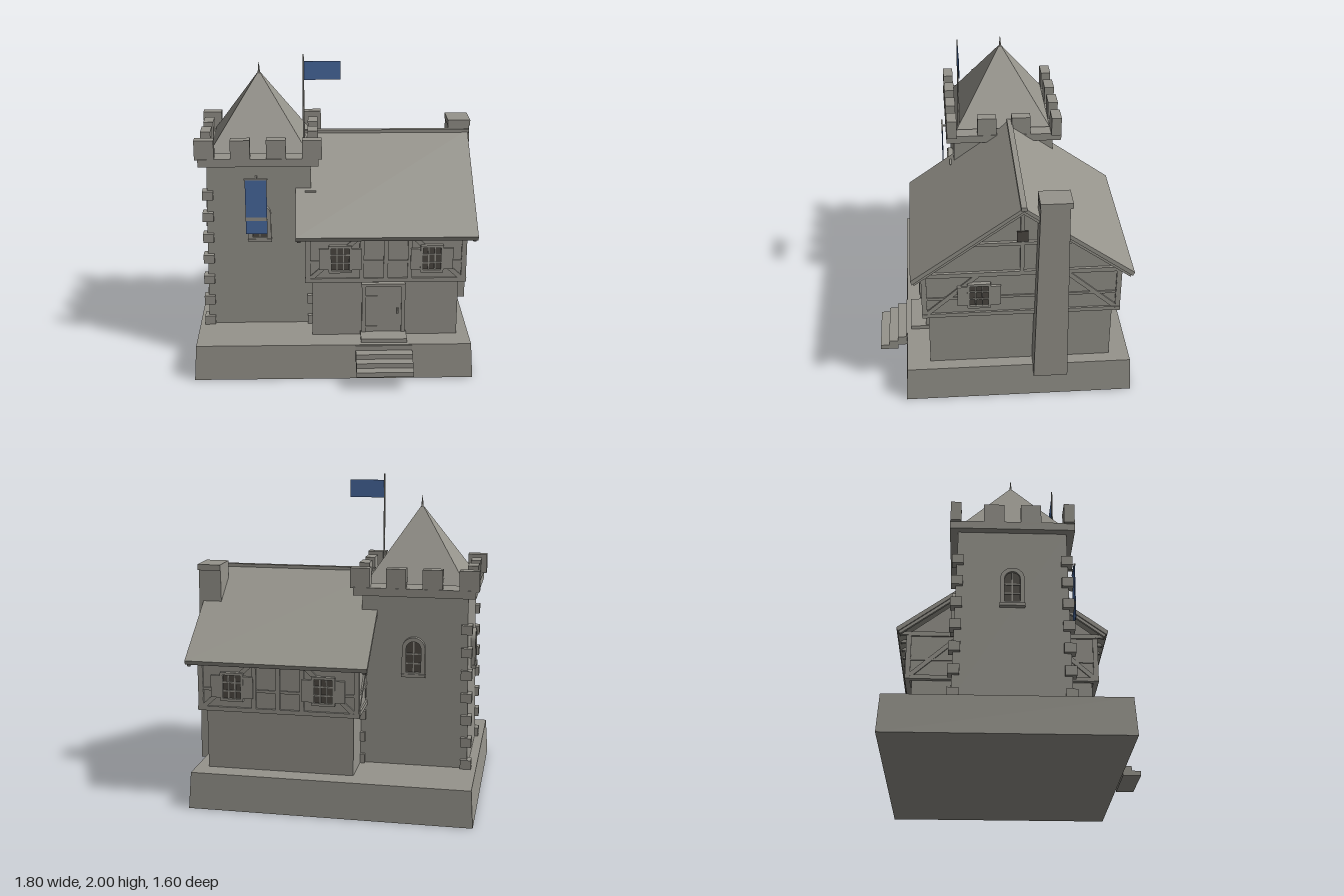
import * as THREE from 'three';

const stone = new THREE.MeshStandardMaterial({ name: 'stone grey', color: 0x96948c });
const dark = new THREE.MeshStandardMaterial({ name: 'dark glass', color: 0x4e4a44 });
const blue = new THREE.MeshStandardMaterial({ name: 'flag blue', color: 0x4a6ca4 });

function add(parent, name, geometry, material = stone) {
  const mesh = new THREE.Mesh(geometry, material);
  mesh.name = name;
  parent.add(mesh);
  return mesh;
}

// box given by its limits on each axis; tx and tz narrow the top on each side
function block(parent, name, x0, x1, y0, y1, z0, z1, material = stone, tx = 0, tz = 0) {
  const g = new THREE.BoxGeometry(x1 - x0, y1 - y0, z1 - z0);
  const p = g.attributes.position;
  for (let i = 0; i < p.count; i++) {
    if (p.getY(i) > 0) {
      p.setX(i, p.getX(i) - Math.sign(p.getX(i)) * tx);
      p.setZ(i, p.getZ(i) - Math.sign(p.getZ(i)) * tz);
    }
  }
  g.computeVertexNormals();
  g.translate((x0 + x1) / 2, (y0 + y1) / 2, (z0 + z1) / 2);
  return add(parent, name, g, material);
}

// straight timber between two points of a wall plane
function brace(parent, name, ax, ay, bx, by, width = 0.028, depth = 0.02) {
  const m = add(parent, name, new THREE.BoxGeometry(Math.hypot(bx - ax, by - ay), width, depth));
  m.position.set((ax + bx) / 2, (ay + by) / 2, 0);
  m.rotation.z = Math.atan2(by - ay, bx - ax);
  return m;
}

// z,y profile symmetric about the ridge, extruded from x0 to x1
function alongX(points, x0, x1) {
  const shape = new THREE.Shape(points.map(([z, y]) => new THREE.Vector2(z, y)));
  const g = new THREE.ExtrudeGeometry(shape, { depth: x1 - x0, bevelEnabled: false });
  return g.rotateY(Math.PI / 2).translate(x0, 0, 0);
}

// group whose local +z points out of a wall
function wallPlane(parent, name, x, z, turn) {
  const g = new THREE.Group();
  g.name = name;
  g.position.set(x, 0, z);
  g.rotation.y = turn;
  parent.add(g);
  return g;
}

// latticed window with a pair of shutters
function shutteredWindow(wall, cx) {
  const g = new THREE.Group();
  g.name = 'shutteredWindow';
  g.position.set(cx, 0.77, 0);
  wall.add(g);
  block(g, 'glass', -0.06, 0.06, -0.08, 0.08, 0.004, 0.012, dark);
  for (const s of [-1, 1]) {
    block(g, 'jamb', s * 0.064 - 0.008, s * 0.064 + 0.008, -0.085, 0.085, 0, 0.025);
    block(g, 'rail', -0.07, 0.07, s * 0.082 - 0.008, s * 0.082 + 0.008, 0, 0.027);
    block(g, 'shutter', s * 0.1 - 0.032, s * 0.1 + 0.032, -0.07, 0.068, 0.005, 0.022);
    block(g, 'verticalBar', s * 0.02 - 0.004, s * 0.02 + 0.004, -0.08, 0.08, 0.01, 0.019);
    block(g, 'crossBar', -0.06, 0.06, s * 0.027 - 0.004, s * 0.027 + 0.004, 0.01, 0.019);
  }
}

function archShape(w, y0, y1) {
  const s = new THREE.Shape();
  s.moveTo(-w, y0);
  s.lineTo(w, y0);
  s.lineTo(w, y1 - w);
  s.absarc(0, y1 - w, w, 0, Math.PI);
  s.closePath();
  return s;
}

// arched tower window with raised surround
function archedWindow(wall) {
  const frame = archShape(0.072, 0.81, 1.055);
  frame.holes.push(archShape(0.046, 0.835, 1.03));
  add(wall, 'windowSurround', new THREE.ExtrudeGeometry(frame, { depth: 0.045, bevelEnabled: false }));
  const glass = new THREE.ExtrudeGeometry(archShape(0.05, 0.83, 1.034), { depth: 0.008, bevelEnabled: false });
  add(wall, 'windowGlass', glass, dark).position.z = 0.022;
  block(wall, 'windowBar', -0.004, 0.004, 0.83, 1.03, 0.025, 0.036);
  for (const y of [0.89, 0.95]) block(wall, 'windowBar', -0.047, 0.047, y - 0.004, y + 0.004, 0.025, 0.036);
  block(wall, 'windowSill', -0.075, 0.075, 0.805, 0.825, 0, 0.052);
}

function buildTower(root) {
  const t = new THREE.Group();
  t.name = 'tower';
  t.position.set(-0.49, 0, -0.055);
  root.add(t);
  block(t, 'towerBody', -0.345, 0.345, 0.22, 1.32, -0.345, 0.345, stone, 0.02, 0.02);
  block(t, 'cornice', -0.375, 0.375, 1.31, 1.36, -0.375, 0.375);

  // corner stones
  for (let i = 0; i < 7; i++) {
    const y = 0.23 + i * 0.1425, c = 0.335 - i * 0.002;
    for (const sx of [-1, 1]) for (const sz of [-1, 1]) {
      block(t, 'cornerStone', sx * c - 0.034, sx * c + 0.034, y, y + 0.058, sz * c - 0.034, sz * c + 0.034);
    }
  }
  // battlements
  for (let i = 0; i < 4; i++) {
    const a = -0.334 + i * 0.2227;
    for (const s of [-1, 1]) {
      block(t, 'merlon', a - 0.061, a + 0.061, 1.355, 1.48, s * 0.34 - 0.032, s * 0.34 + 0.032);
      if (i === 1 || i === 2) block(t, 'merlon', s * 0.34 - 0.032, s * 0.34 + 0.032, 1.355, 1.48, a - 0.061, a + 0.061);
    }
  }
  block(t, 'spireRoof', -0.31, 0.31, 1.375, 1.82, -0.305, 0.305, stone, 0.3, 0.295);
  add(t, 'finial', new THREE.ConeGeometry(0.009, 0.09, 8)).position.y = 1.855;

  for (const [x, z, turn] of [[0, 0.315, 0], [-0.315, 0, -Math.PI / 2], [0, -0.315, Math.PI]]) {
    archedWindow(wallPlane(t, 'towerWindow', x, z, turn));
  }

  // flag and hanging banner
  add(t, 'flagPole', new THREE.CylinderGeometry(0.004, 0.007, 0.63, 8)).position.set(0.285, 1.685, 0.29);
  block(t, 'flag', 0.289, 0.512, 1.842, 1.957, 0.287, 0.293, blue);
  block(t, 'bannerUpper', -0.085, 0.05, 0.985, 1.235, 0.392, 0.398, blue);
  block(t, 'bannerStripe', -0.085, 0.05, 0.962, 0.985, 0.392, 0.398);
  block(t, 'bannerLower', -0.085, 0.05, 0.873, 0.962, 0.392, 0.398, blue);
  block(t, 'bannerRod', -0.092, 0.057, 1.232, 1.24, 0.39, 0.4);
  block(t, 'bannerBracket', -0.022, -0.012, 1.228, 1.238, 0.31, 0.395);
}

function buildHouse(root) {
  const h = new THREE.Group();
  h.name = 'house';
  h.position.z = -0.095;
  root.add(h);
  block(h, 'lowerWalls', -0.16, 0.76, 0.22, 0.62, -0.567, 0.57);
  block(h, 'upperWalls', -0.19, 0.79, 0.615, 0.93, -0.595, 0.597);
  add(h, 'gableWalls', alongX([[-0.595, 0.925], [0.595, 0.925], [0, 1.375]], -0.19, 0.785));

  // framing of the long walls
  for (const s of [-1, 1]) {
    const w = wallPlane(h, s > 0 ? 'frontFrame' : 'backFrame', 0.3, s * 0.597, s > 0 ? 0 : Math.PI);
    block(w, 'sillBeam', -0.505, 0.505, 0.61, 0.637, -0.02, 0.012);
    block(w, 'topBeam', -0.505, 0.505, 0.905, 0.935, -0.02, 0.012);
    block(w, 'midRail', -0.5, 0.5, 0.738, 0.755, -0.02, 0.008);
    for (const x of [-0.485, -0.15, 0, 0.15, 0.485]) {
      block(w, 'post', x - 0.014, x + 0.014, 0.62, 0.92, -0.02, 0.012);
    }
    for (const m of [-1, 1]) {
      brace(w, 'diagonalBrace', m * 0.47, 0.635, m * 0.17, 0.91);
      shutteredWindow(w, m * 0.285);
    }
    for (let i = 0; i < 9; i++) {
      const x = -0.5 + i * 0.125;
      block(w, 'rafterTail', x - 0.01, x + 0.01, 0.908, 0.93, 0, 0.055);
    }
  }

  // framing of the end walls
  for (const s of [-1, 1]) {
    const w = wallPlane(h, s > 0 ? 'rightEndFrame' : 'leftEndFrame', s > 0 ? 0.79 : -0.19, 0, s * Math.PI / 2);
    block(w, 'sillBeam', -0.607, 0.607, 0.61, 0.637, -0.02, 0.012);
    block(w, 'topBeam', -0.607, 0.607, 0.905, 0.935, -0.02, 0.012);
    block(w, 'midRail', -0.6, 0.6, 0.738, 0.755, -0.02, 0.008);
    block(w, 'tieBeam', -0.34, 0.34, 1.125, 1.147, -0.02, 0.014);
    block(w, 'kingPost', -0.012, 0.012, 0.92, 1.38, -0.02, 0.012);
    for (const m of [-1, 1]) {
      block(w, 'cornerPost', m * 0.593 - 0.014, m * 0.593 + 0.014, 0.62, 0.92, -0.02, 0.012);
      brace(w, 'diagonalBrace', m * 0.58, 0.635, m * 0.27, 0.91);
    }
    if (s > 0) {
      shutteredWindow(w, -0.26);
      block(w, 'atticWindow', -0.034, 0.034, 1.155, 1.225, 0.01, 0.019, dark);
    }
  }

  // gabled roof with verge boards and ridge cap
  const slope = (half, top, drop, thick) => [[-half, drop], [0, top], [half, drop],
    [half - 0.01, drop - thick], [0, top - thick], [-half + 0.01, drop - thick]];
  add(h, 'roof', alongX(slope(0.672, 1.422, 0.935, 0.026), -0.26, 0.862));
  for (const x of [-0.25, 0.832]) {
    add(h, 'vergeBoard', alongX(slope(0.66, 1.398, 0.922, 0.026), x, x + 0.02));
  }
  block(h, 'ridgeCap', -0.2, 0.87, 1.405, 1.43, -0.017, 0.017);

  // door
  const d = wallPlane(h, 'entrance', 0.29, 0.57, 0);
  block(d, 'door', -0.115, 0.115, 0.25, 0.575, 0, 0.012);
  for (const s of [-1, 1]) block(d, 'doorJamb', s * 0.125 - 0.012, s * 0.125 + 0.012, 0.23, 0.585, 0, 0.022);
  block(d, 'lintel', -0.14, 0.135, 0.572, 0.592, 0, 0.03);
  for (const y of [0.29, 0.5]) block(d, 'hinge', -0.115, -0.04, y - 0.006, y + 0.006, 0.01, 0.018);
  block(d, 'doorHandle', 0.085, 0.095, 0.385, 0.42, 0.01, 0.026);
  block(d, 'doorstep', -0.145, 0.145, 0.225, 0.255, 0, 0.12);
}

export function createModel() {
  const root = new THREE.Group();
  root.name = 'fortifiedHouse';

  block(root, 'foundation', -0.905, 0.852, 0, 0.23, -0.8, 0.635, stone, 0.015, 0.013);
  for (let i = 0; i < 4; i++) {
    block(root, 'step', 0.11, 0.465, 0.097 + i * 0.032, 0.129 + i * 0.032, 0.685 - i * 0.057, 0.8 - i * 0.057);
  }

  buildTower(root);
  buildHouse(root);

  // chimney
  block(root, 'chimneyStack', 0.735, 0.9, 0.187, 1.43, -0.38, -0.168, stone, 0.012, 0.02);
  block(root, 'chimneyCap', 0.745, 0.893, 1.425, 1.462, -0.375, -0.185);
  return root;
}
